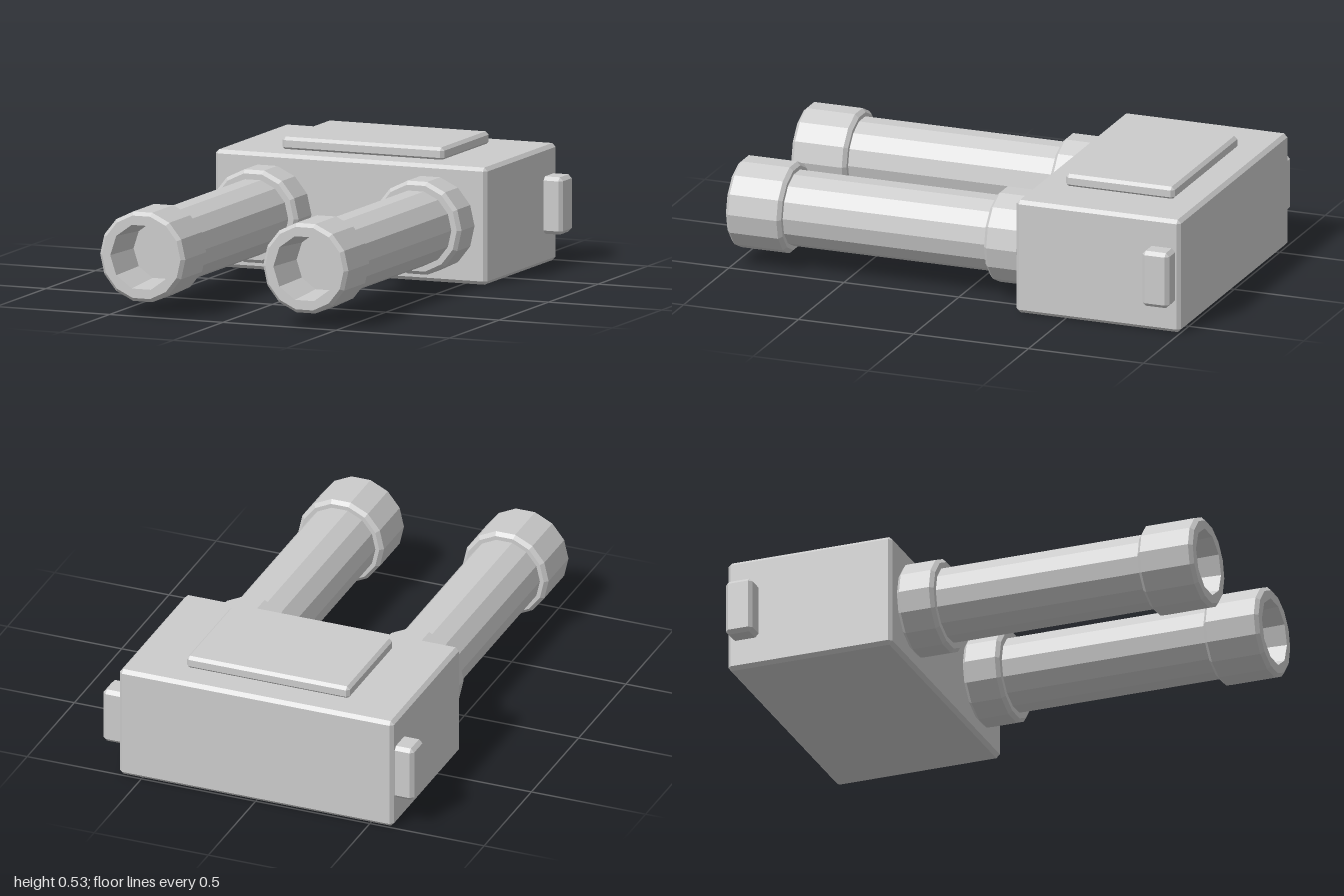
import * as THREE from 'three';
import { ConvexGeometry } from 'three/addons/geometries/ConvexGeometry.js';

const SIDES = 14, BORE_SIDES = 10;
const material = new THREE.MeshStandardMaterial({ color: 0xcccccc, flatShading: true });

function part(name, geometry) {
  const mesh = new THREE.Mesh(geometry, material);
  mesh.name = name;
  return mesh;
}

// Box with chamfered edges: hull of three points per corner
function chamferBox(name, [x0, x1], [y0, y1], [z0, z1], c) {
  const h = [(x1 - x0) / 2, (y1 - y0) / 2, (z1 - z0) / 2];
  const points = [];
  for (const sx of [-1, 1]) for (const sy of [-1, 1]) for (const sz of [-1, 1]) {
    for (let full = 0; full < 3; full++) {
      const p = [sx, sy, sz].map((s, i) => s * (i === full ? h[i] : h[i] - c));
      points.push(new THREE.Vector3(...p));
    }
  }
  const mesh = part(name, new ConvexGeometry(points));
  mesh.position.set((x0 + x1) / 2, (y0 + y1) / 2, (z0 + z1) / 2);
  return mesh;
}

// Profile of [radius, z] turned about the z axis, with a corner on the x axis
function turned(name, profile, sides) {
  const points = profile.map(([r, z]) => new THREE.Vector2(r, z));
  const geometry = new THREE.LatheGeometry(points, sides, Math.PI / 2);
  return part(name, geometry.rotateX(Math.PI / 2));
}

function polygon(radius, sides) {
  return Array.from({ length: sides }, (_, i) => {
    const a = (i / sides) * Math.PI * 2;
    return new THREE.Vector2(radius * Math.cos(a), radius * Math.sin(a));
  });
}

function createBarrel(name) {
  const barrel = new THREE.Group();
  barrel.name = name;
  const b = 0.015;

  barrel.add(turned('barrelTube', [[0, -0.3], [0.156, -0.3], [0.156, 0.78]], SIDES));

  // Collar against the housing
  barrel.add(turned('barrelCollar', [
    [0, -0.285], [0.195 - b, -0.285], [0.195, -0.285 + b],
    [0.195, -0.125 - b], [0.195 - b, -0.125], [0.14, -0.125],
  ], SIDES));

  // Muzzle sleeve, front rim and tapered bore
  barrel.add(turned('muzzle', [
    [0.14, 0.76], [0.188 - b, 0.76], [0.188, 0.76 + b],
    [0.188, 1 - b], [0.188 - b, 1],
  ], SIDES));
  const rim = new THREE.Shape(polygon(0.188 - b, SIDES));
  rim.holes.push(new THREE.Path(polygon(0.137, BORE_SIDES)));
  const rimMesh = part('muzzleRim', new THREE.ShapeGeometry(rim));
  rimMesh.position.z = 1;
  barrel.add(rimMesh);
  barrel.add(turned('bore', [[0.137, 1], [0.122, 0.8], [0, 0.8]], BORE_SIDES));
  return barrel;
}

export function createModel() {
  const model = new THREE.Group();
  model.name = 'twinBarrelTurret';

  // Housing and roof plate
  model.add(chamferBox('housing', [-0.6, 0.6], [0, 0.48], [-1, -0.285], 0.015));
  model.add(chamferBox('roofPlate', [-0.357, 0.357], [0.475, 0.53], [-0.877, -0.405], 0.013));

  // Mirrored barrels and side lugs
  for (const [side, s] of [['left', 1], ['right', -1]]) {
    const barrel = createBarrel(side + 'Barrel');
    barrel.position.set(s * 0.36, 0.243, 0);
    model.add(barrel);
    const xs = s > 0 ? [0.57, 0.68] : [-0.68, -0.57];
    model.add(chamferBox(side + 'Lug', xs, [0.125, 0.36], [-0.98, -0.863], 0.015));
  }
  return model;
}
